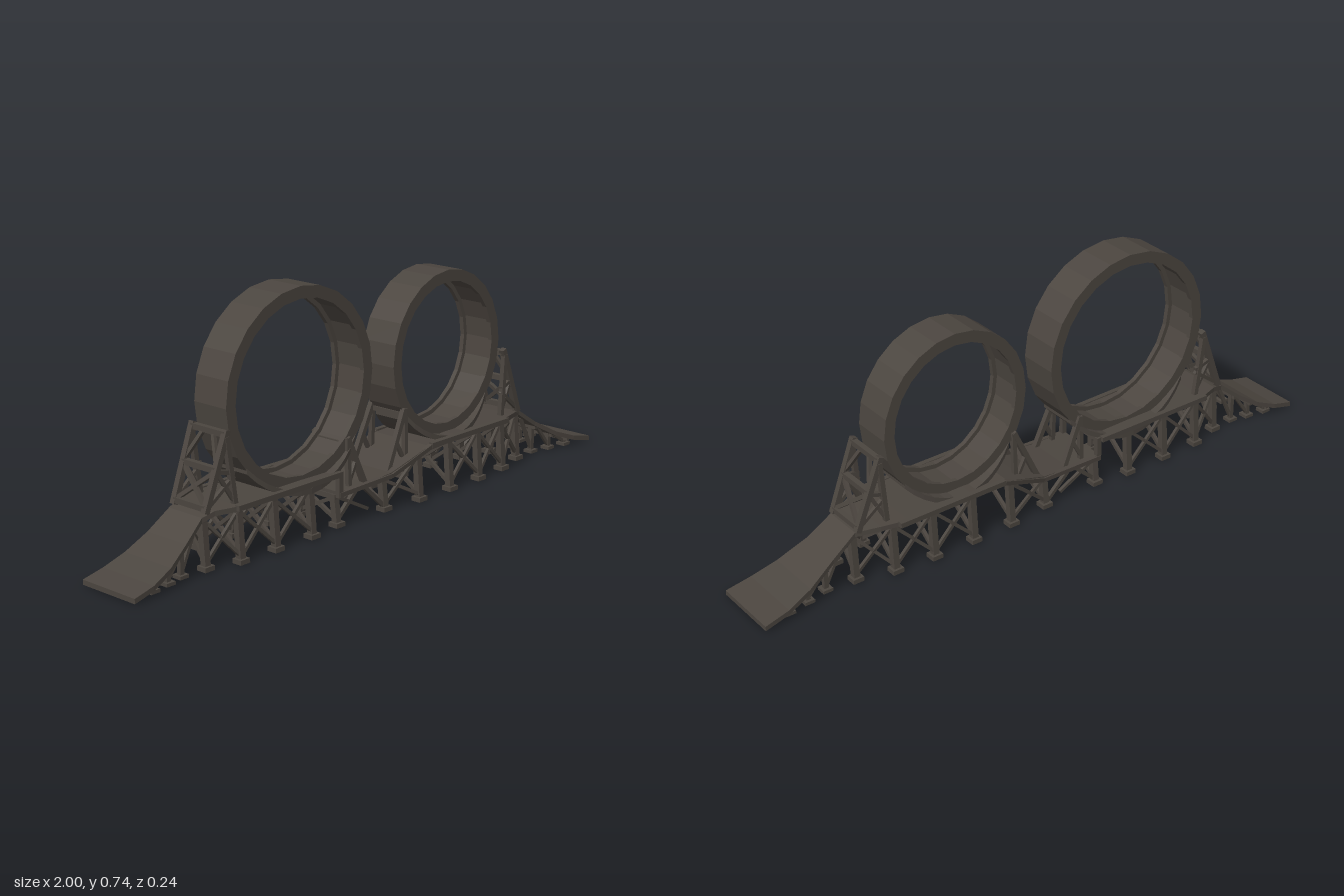
import * as THREE from 'three';

export function createModel() {
  const root = new THREE.Group();
  const timber = new THREE.MeshStandardMaterial({ color: 0x4b453f, flatShading: true });
  timber.name = 'dark timber';

  function add(geo, name, parent = root) {
    const m = new THREE.Mesh(geo, timber);
    m.name = name;
    parent.add(m);
    return m;
  }

  // Square beam between two points
  const up = new THREE.Vector3(0, 1, 0);
  function beam(parent, name, a, b, w = 0.014) {
    const p = new THREE.Vector3(...a), q = new THREE.Vector3(...b);
    const dir = q.clone().sub(p);
    const m = add(new THREE.BoxGeometry(w, dir.length(), w), name, parent);
    m.position.copy(p).add(q).multiplyScalar(0.5);
    m.quaternion.setFromUnitVectors(up, dir.normalize());
  }

  // Slab following stations [x, top y, half width], left to right
  function ribbon(stations, thick, name) {
    const pos = [], idx = [];
    stations.forEach(([x, y, h], i) => {
      pos.push(x, y, h, x, y, -h, x, y - thick, -h, x, y - thick, h);
      if (!i) return;
      const a = (i - 1) * 4, b = i * 4;
      for (let k = 0; k < 4; k++) {
        const n = (k + 1) % 4;
        idx.push(a + k, b + k, b + n, a + k, b + n, a + n);
      }
    });
    const e = (stations.length - 1) * 4;
    idx.push(0, 1, 2, 0, 2, 3, e, e + 2, e + 1, e, e + 3, e + 2);
    const g = new THREE.BufferGeometry();
    g.setAttribute('position', new THREE.Float32BufferAttribute(pos, 3));
    g.setIndex(idx);
    g.computeVertexNormals();
    return add(g, name);
  }

  // Ramps and decks
  const upper = [
    [-1, 0.016, 0.105], [-0.93, 0.032, 0.103], [-0.86, 0.06, 0.093], [-0.79, 0.104, 0.078],
    [-0.72, 0.158, 0.066], [-0.68, 0.17, 0.075], [-0.61, 0.172, 0.1], [-0.33, 0.172, 0.105], [-0.19, 0.17, 0.09],
  ];
  const lower = [
    [-0.2, 0.108, 0.088], [-0.08, 0.108, 0.09], [0.02, 0.117, 0.095], [0.1, 0.147, 0.108], [0.17, 0.17, 0.114],
    [0.3, 0.176, 0.115], [0.52, 0.174, 0.112], [0.6, 0.172, 0.09], [0.67, 0.166, 0.063],
    [0.75, 0.112, 0.07], [0.84, 0.062, 0.09], [0.92, 0.033, 0.103], [1, 0.016, 0.108],
  ];
  ribbon(upper, 0.015, 'leftRampAndDeck');
  ribbon(lower, 0.015, 'rightRampAndDeck');

  // Interpolated deck height and half width
  function deckAt(x) {
    const s = x < -0.195 ? upper : lower;
    let i = 1;
    while (i < s.length - 1 && s[i][0] < x) i++;
    const t = (x - s[i - 1][0]) / (s[i][0] - s[i - 1][0]);
    return [1, 2].map((k) => THREE.MathUtils.lerp(s[i - 1][k], s[i][k], t));
  }

  // Vertical loops: a channel with raised side rails
  function loop(name, cx, cy, rx, ry) {
    const profile = [
      [ry, -0.063], [ry, 0.063], [ry - 0.036, 0.063], [ry - 0.036, 0.048], [ry - 0.022, 0.048],
      [ry - 0.022, -0.048], [ry - 0.036, -0.048], [ry - 0.036, -0.063], [ry, -0.063],
    ].map(([r, y]) => new THREE.Vector2(r, y));
    const geo = new THREE.LatheGeometry(profile, 24).rotateX(Math.PI / 2);
    geo.scale(rx / ry, 1, 1);
    geo.computeVertexNormals();
    add(geo, name).position.set(cx, cy, 0);
    // Widened track where the loop meets the deck
    const flare = [];
    for (let i = -6; i <= 6; i++) {
      const a = i * 0.145;
      const h = 0.1 - 0.036 * Math.pow(Math.abs(i) / 6, 1.5);
      flare.push([cx + Math.sin(a) * (rx - 0.006), cy - Math.cos(a) * (ry - 0.006), h]);
    }
    ribbon(flare, 0.017, name + 'Flare');
  }
  loop('largeLoop', -0.325, 0.442, 0.295, 0.294);
  loop('smallLoop', 0.312, 0.424, 0.248, 0.258);

  // Edge rails along the flat decks
  for (const s of [-1, 1]) {
    beam(root, 'deckEdgeRail', [-0.62, 0.168, s * 0.1], [-0.2, 0.166, s * 0.096], 0.016);
    beam(root, 'deckEdgeRail', [0.18, 0.169, s * 0.112], [0.55, 0.169, s * 0.112], 0.016);
    beam(root, 'deckEdgeRail', [-0.2, 0.1, s * 0.088], [0.02, 0.107, s * 0.093], 0.014);
    beam(root, 'deckEdgeRail', [0.02, 0.107, s * 0.093], [0.18, 0.167, s * 0.112], 0.014);
    beam(root, 'deckStepPost', [-0.195, 0.09, s * 0.085], [-0.195, 0.17, s * 0.085], 0.016);
  }

  // Trestle bents under the deck
  const trestle = new THREE.Group();
  trestle.name = 'trestle';
  root.add(trestle);
  const bents = [-0.7, -0.595, -0.46, -0.315, -0.195, 0.005, 0.145, 0.285, 0.425, 0.555, 0.67];
  const spot = (x) => {
    const [y, h] = deckAt(x);
    return { y: y - 0.012, z: Math.max(h - 0.014, 0.055) };
  };
  for (const x of bents) {
    const { y, z } = spot(x);
    for (const s of [-1, 1]) {
      beam(trestle, 'leg', [x, 0, s * z], [x, y, s * (z - 0.012)], 0.02);
      add(new THREE.BoxGeometry(0.036, 0.014, 0.034), 'foot', trestle).position.set(x, 0.007, s * z);
      beam(trestle, 'bentBrace', [x, 0.02, s * z], [x, y - 0.01, -s * (z - 0.012)], 0.011);
    }
    beam(trestle, 'capBeam', [x, y - 0.006, -z], [x, y - 0.006, z], 0.016);
  }
  // Crossed braces between bents, on both sides
  for (let i = 1; i < bents.length; i++) {
    if (i === 4 || i === 5 || i === 7) continue;
    const x0 = bents[i - 1], x1 = bents[i], a = spot(x0), b = spot(x1);
    for (const s of [-1, 1]) {
      beam(trestle, 'sideBrace', [x0, 0.02, s * a.z], [x1, b.y - 0.01, s * (b.z - 0.01)], 0.01);
      beam(trestle, 'sideBrace', [x1, 0.02, s * b.z], [x0, a.y - 0.01, s * (a.z - 0.01)], 0.01);
    }
  }
  // Diagonal struts in the open bays
  for (const s of [-1, 1]) {
    beam(trestle, 'strut', [-0.195, 0.015, s * 0.07], [-0.1, 0.1, s * 0.07], 0.012);
    beam(trestle, 'strut', [0, 0.015, s * 0.08], [-0.09, 0.1, s * 0.08], 0.012);
    beam(trestle, 'strut', [-0.195, 0.09, s * 0.07], [-0.06, 0.02, s * 0.07], 0.01);
  }
  // Short ramp posts with crossbars
  for (const x of [-0.91, -0.845, -0.785, 0.765, 0.835, 0.905]) {
    const [y, h] = deckAt(x);
    for (const s of [-1, 1]) {
      beam(trestle, 'rampPost', [x, 0, s * (h - 0.03)], [x, y - 0.008, s * (h - 0.03)], 0.014);
      beam(trestle, 'rampStrut', [x, 0.012, s * (h - 0.03)],
        [x - Math.sign(x) * 0.06, deckAt(x - Math.sign(x) * 0.06)[0] - 0.012, s * (h - 0.03)], 0.01);
      add(new THREE.BoxGeometry(0.032, 0.01, 0.032), 'rampFoot', trestle).position.set(x, 0.005, s * (h - 0.03));
    }
    beam(trestle, 'rampCrossbar', [x, y - 0.016, -h + 0.01], [x, y - 0.016, h - 0.01], 0.012);
  }

  // Leaning towers at the outer sides of the loops
  function tower(name, foot, top, inner) {
    const g = new THREE.Group();
    g.name = name;
    root.add(g);
    const at = (t, z) => [foot + (top - foot) * t, 0.165 + 0.22 * t, z * (0.062 + 0.004 * t)];
    for (const s of [-1, 1]) {
      beam(g, 'towerPost', at(0, s), at(1, s), 0.018);
      beam(g, 'towerInnerPost', [inner, 0.165, s * 0.07], at(0.92, s * 1.05), 0.015);
      beam(g, 'towerTie', at(0.5, s), [inner, 0.26, s * 0.068], 0.012);
      beam(g, 'towerTie', at(0.05, s), [inner, 0.25, s * 0.068], 0.011);
      beam(g, 'towerTie', at(0.5, s), [inner, 0.175, s * 0.068], 0.011);
      beam(g, 'towerCross', at(0.06, s), at(0.5, -s), 0.012);
      beam(g, 'towerCross', at(0.55, s), at(0.93, s * 0.3), 0.011);
    }
    for (const t of [0.06, 0.52, 0.95]) beam(g, 'towerCrossbar', at(t, -1), at(t, 1), 0.017);
  }
  tower('leftTower', -0.705, -0.622, -0.6);
  tower('rightTower', 0.662, 0.578, 0.568);

  // Props at the inner sides of the loops
  function props(name, foot, top, topY, inner) {
    const g = new THREE.Group();
    g.name = name;
    root.add(g);
    for (const s of [-1, 1]) {
      beam(g, 'prop', [foot, 0.105, s * 0.07], [top, topY, s * 0.064], 0.016);
      beam(g, 'prop', [inner, 0.11, s * 0.07], [top, topY, s * 0.064], 0.014);
      const mid = (foot + top) / 2, my = (0.105 + topY) / 2;
      beam(g, 'propTie', [mid, my, s * 0.068], [inner, 0.12, s * 0.07], 0.011);
    }
    beam(g, 'propCrossbar', [top, topY - 0.02, -0.064], [top, topY - 0.02, 0.064], 0.014);
  }
  props('largeLoopProps', -0.075, -0.14, 0.255, -0.14);
  props('smallLoopProps', 0.025, 0.112, 0.29, 0.11);

  return root;
}
